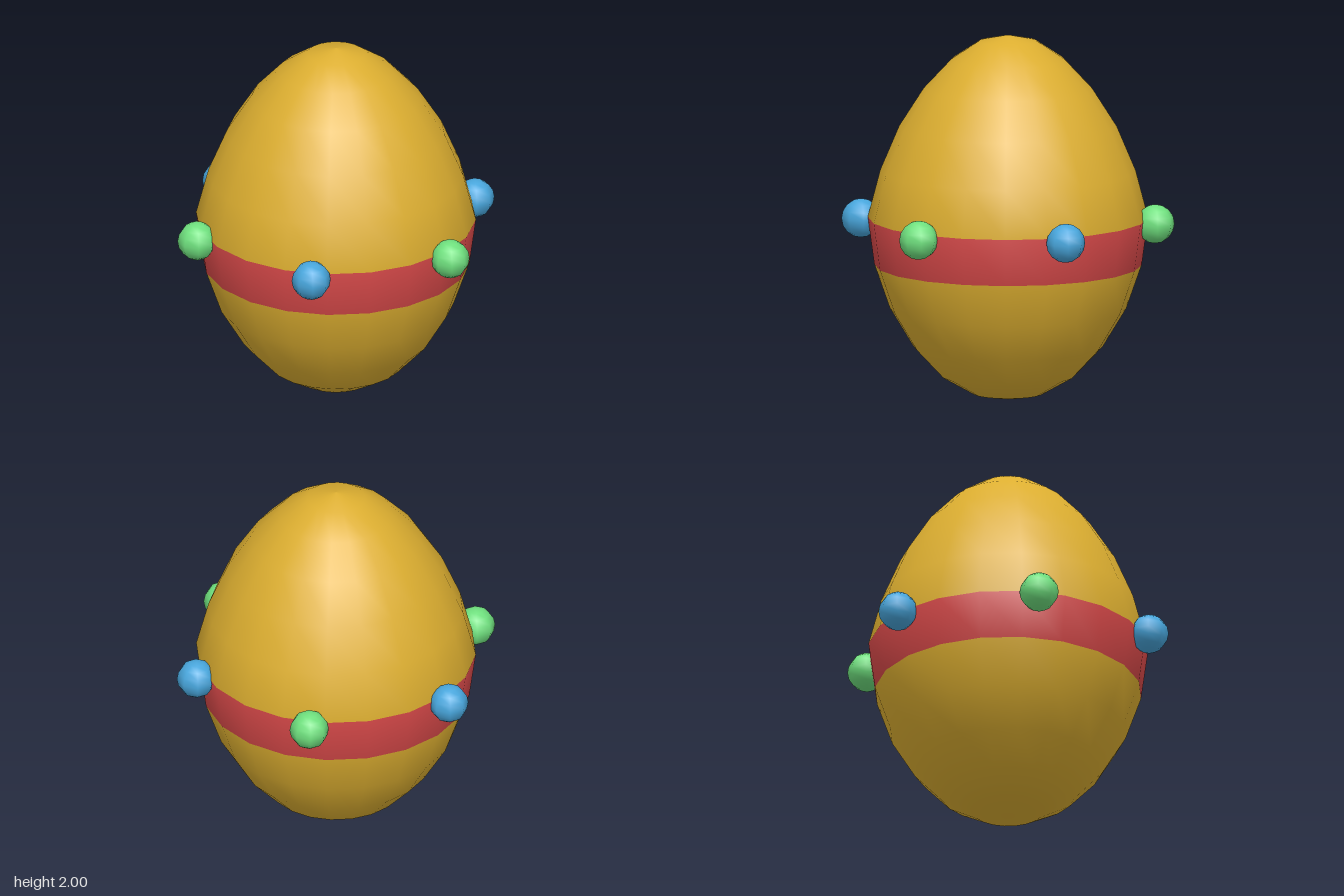
import * as THREE from 'three';

const material = (name, color) => {
  const m = new THREE.MeshStandardMaterial({ color });
  m.name = name;
  return m;
};

export function createModel() {
  const group = new THREE.Group();
  group.name = 'decoratedEgg';

  const gold = material('gold', 0xdcae30);
  const red = material('red', 0xd04646);
  const blue = material('blue', 0x48a6dc);
  const green = material('green', 0x6fe07e);

  // Egg: ring radii from bottom to top, at equal steps of latitude
  const radii = [0, 0.19, 0.364, 0.513, 0.638, 0.722, 0.757, 0.689, 0.587, 0.455, 0.306, 0.156, 0];
  const rows = radii.length - 1;
  const sides = 20;
  const profile = radii.map((r, i) =>
    new THREE.Vector2(r, 1.0025 - 0.9975 * Math.cos((i / rows) * Math.PI)));
  const shell = new THREE.LatheGeometry(profile, sides);

  // Red band: the row of faces just below the widest ring
  const bandRow = 5;
  for (let s = 0; s < sides; s++) {
    const start = s * rows * 6;
    shell.addGroup(start, bandRow * 6, 0);
    shell.addGroup(start + bandRow * 6, 6, 1);
    shell.addGroup(start + (bandRow + 1) * 6, (rows - bandRow - 1) * 6, 0);
  }
  const egg = new THREE.Mesh(shell, [gold, red]);
  egg.name = 'eggWithBand';
  group.add(egg);

  // Six beads around the band, alternating colours
  const beadShape = new THREE.SphereGeometry(0.106, 8, 8);
  for (let i = 0; i < 6; i++) {
    const a = (i * Math.PI) / 3;
    const bead = new THREE.Mesh(beadShape, i % 2 ? blue : green);
    bead.name = i % 2 ? 'blueBead' : 'greenBead';
    bead.position.set(0.8 * Math.cos(a), 0.982, 0.8 * Math.sin(a));
    group.add(bead);
  }
  return group;
}
